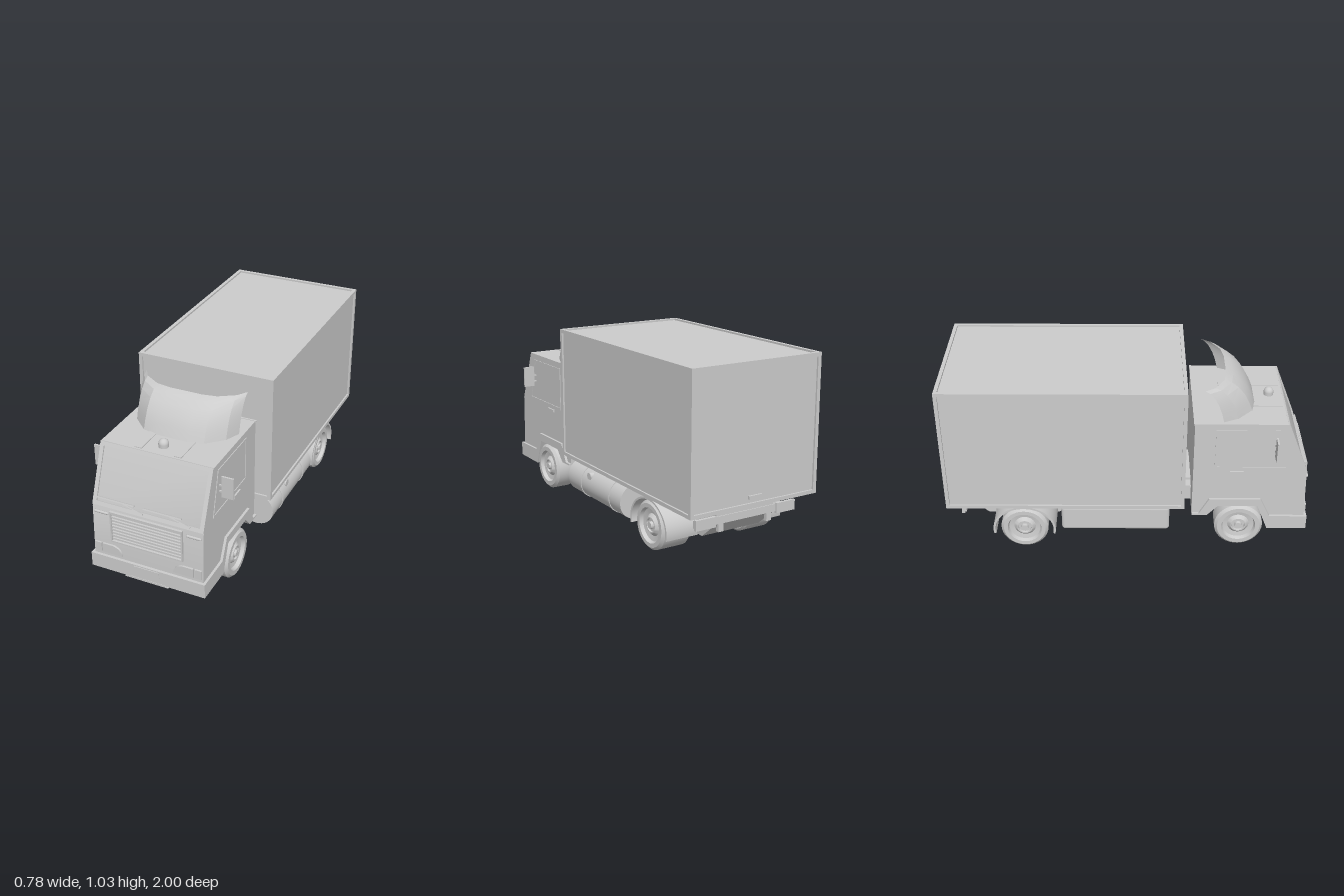
import * as THREE from 'three';
import { toCreasedNormals } from 'three/addons/utils/BufferGeometryUtils.js';
import { RoundedBoxGeometry } from 'three/addons/geometries/RoundedBoxGeometry.js';

const grey = new THREE.MeshStandardMaterial({ color: 0xcccccc });
const thin = new THREE.MeshStandardMaterial({ color: 0xcccccc, side: THREE.DoubleSide });

export function createModel() {
  const truck = new THREE.Group();
  truck.name = 'boxTruck';

  const add = (name, geo, parent = truck, mat = grey) => {
    const m = new THREE.Mesh(geo, mat);
    m.name = name;
    parent.add(m);
    return m;
  };
  // Box given by its limits on each axis
  const box = (name, x0, x1, y0, y1, z0, z1, parent = truck) => {
    const m = add(name, new THREE.BoxGeometry(x1 - x0, y1 - y0, z1 - z0), parent);
    m.position.set((x0 + x1) / 2, (y0 + y1) / 2, (z0 + z1) / 2);
    return m;
  };
  const polygon = pts => new THREE.Shape(pts.map(p => new THREE.Vector2(...p)));
  // Side profile in (z, y), extruded across x
  const across = (name, shape, x0, x1) => {
    const geo = new THREE.ExtrudeGeometry(shape, { depth: x1 - x0, bevelEnabled: false, curveSegments: 24 });
    geo.rotateY(-Math.PI / 2).translate(x1, 0, 0);
    return add(name, toCreasedNormals(geo, 0.5));
  };
  // Flat ring between an outline and the same outline shrunk towards its centre
  const frame = (pts, border, depth) => {
    const xs = pts.map(p => p[0]), ys = pts.map(p => p[1]);
    const mid = a => (Math.min(...a) + Math.max(...a)) / 2;
    const cx = mid(xs), cy = mid(ys);
    const s = polygon(pts);
    s.holes.push(new THREE.Path(pts.map(([x, y]) =>
      new THREE.Vector2(x - Math.sign(x - cx) * border, y - Math.sign(y - cy) * border))));
    return new THREE.ExtrudeGeometry(s, { depth, bevelEnabled: false });
  };

  // Cargo body: recessed panels inside edge rails
  const X = 0.39, Y0 = 0.295, Y1 = 1.03, Z0 = -1, Z1 = 0.31, r = 0.02;
  box('cargoPanels', -X + 0.01, X - 0.01, Y0 + 0.005, Y1 - 0.01, Z0 + 0.01, Z1 - 0.01);
  for (const x of [-X, X - r]) {
    for (const y of [Y0, Y1 - r]) box('cargoSideRail', x, x + r, y, y + r, Z0, Z1);
    for (const z of [Z0, Z1 - r]) box('cargoPost', x, x + r, Y0, Y1, z, z + r);
  }
  for (const y of [Y0, Y1 - r])
    for (const z of [Z0, Z1 - r]) box('cargoCrossRail', -X, X, y, y + r, z, z + r);
  box('rearDoorHandle', -0.04, 0.04, 0.335, 0.353, -1, -0.985);

  // Cab shell and the bumper that runs over the wheel arches
  across('cabShell', polygon([[0.355, 0.21], [0.355, 0.8], [0.85, 0.8], [0.975, 0.48], [0.985, 0.19],
    [0.76, 0.19], [0.72, 0.275], [0.5, 0.275], [0.44, 0.21]]), -0.313, 0.313);
  across('bumperAndArches', polygon([[1, 0.115], [1, 0.197], [0.79, 0.2], [0.735, 0.315], [0.45, 0.315],
    [0.395, 0.215], [0.355, 0.215], [0.355, 0.205], [0.44, 0.205], [0.5, 0.27], [0.72, 0.27], [0.78, 0.115]]), -0.327, 0.327);
  box('bumperPlate', -0.075, 0.07, 0.155, 0.19, 0.99, 1.004);
  add('bumperLip', new THREE.ExtrudeGeometry(
    polygon([[-0.13, 0.108], [0.12, 0.108], [0.1, 0.12], [-0.1, 0.12]]), { depth: 0.06, bevelEnabled: false }))
    .position.z = 0.942;
  box('roofRim', -0.318, 0.318, 0.795, 0.803, 0.35, 0.36);

  // Windscreen frame and wipers on the sloping front
  const screen = new THREE.Group();
  screen.name = 'windscreen';
  screen.position.set(0, 0.48, 0.975);
  screen.rotation.x = -Math.atan2(0.125, 0.32);
  truck.add(screen);
  add('windscreenFrame', frame([[-0.313, 0.012], [0.313, 0.012], [0.313, 0.342], [-0.313, 0.342]], 0.022, 0.008), screen);
  for (const x of [-0.18, 0.083]) {
    box('wiperBlade', x - 0.107, x + 0.107, 0.053, 0.061, 0.01, 0.02, screen);
    const arm = box('wiperArm', x + 0.035, x + 0.16, 0.038, 0.044, 0.01, 0.017, screen);
    arm.rotation.z = -0.23;
  }

  // Grille
  add('grilleFrame', frame([[-0.207, 0.298], [0.203, 0.298], [0.203, 0.482], [-0.207, 0.482]], 0.008, 0.014))
    .position.z = 0.98;
  for (let i = 0; i < 9; i++)
    box('grilleSlat', -0.2, 0.197, 0.312 + i * 0.0185, 0.322 + i * 0.0185, 0.97, 0.988);

  // Parts on both sides of the cab
  for (const s of [-1, 1]) {
    const span = (name, a, b, ...rest) => box(name, Math.min(s * a, s * b), Math.max(s * a, s * b), ...rest);
    // Headlight with a rounded inner corner, and a corner lamp
    const lamp = new THREE.Shape();
    lamp.moveTo(0.26, 0.217);
    lamp.lineTo(0.26, 0.27);
    lamp.lineTo(0.2, 0.27);
    lamp.quadraticCurveTo(0.15, 0.262, 0.147, 0.217);
    const lampGeo = new THREE.ExtrudeGeometry(lamp, { depth: 0.014, bevelEnabled: false });
    if (s < 0) lampGeo.rotateY(Math.PI).translate(0, 0, 0.014);
    add('headlight', lampGeo).position.z = 0.979;
    span('cornerLamp', 0.267, 0.306, 0.217, 0.27, 0.975, 0.992);
    const signal = add('turnSignal', new THREE.CapsuleGeometry(0.0075, 0.07, 4, 10));
    signal.rotation.z = Math.PI / 2;
    signal.position.set(s * 0.262, 0.458, 0.98);
    // Mirror on two arms
    span('mirror', 0.327, 0.392, 0.605, 0.725, 0.791, 0.801);
    for (const y of [0.63, 0.665]) span('mirrorArm', 0.3, 0.335, y, y + 0.008, 0.79, 0.798);
    // Door window frame and handle
    const win = frame([[0.47, 0.515], [0.87, 0.515], [0.81, 0.765], [0.47, 0.765]], 0.012, 0.005);
    win.rotateY(-Math.PI / 2).translate(s > 0 ? 0.317 : -0.312, 0, 0);
    add('doorWindowFrame', win);
    span('doorHandle', 0.31, 0.322, 0.484, 0.5, 0.555, 0.63);
    span('roofRib', 0.09, 0.13, 0.797, 0.804, 0.5, 0.84);
  }

  // Beacon
  const beacon = add('beacon', new THREE.CapsuleGeometry(0.027, 0.036, 8, 20));
  beacon.position.set(0, 0.8, 0.775);

  // Roof wind deflector: bowed in plan, swept back with height
  const plan = [[-0.29, 0.18], [-0.255, 0.1], [-0.17, 0.02], [-0.09, 0], [0.09, 0], [0.17, 0.02], [0.255, 0.1], [0.29, 0.18]];
  const rise = [[0.8, 0], [0.85, 0.02], [0.9, 0.047], [0.945, 0.085], [0.975, 0.125], [0.99, 0.165]];
  const pos = [], idx = [], n = plan.length;
  rise.forEach(([y, back]) => plan.forEach(([x, bow]) =>
    pos.push(x, y, 0.69 - bow - back * (1 - bow * 2))));
  for (let j = 0; j < rise.length - 1; j++)
    for (let i = 0; i < n - 1; i++) {
      const a = j * n + i;
      idx.push(a, a + 1, a + n + 1, a, a + n + 1, a + n);
    }
  const shell = new THREE.BufferGeometry();
  shell.setAttribute('position', new THREE.Float32BufferAttribute(pos, 3));
  shell.setIndex(idx);
  add('windDeflector', toCreasedNormals(shell, 0.3), truck, thin);

  // Chassis
  across('chassis', polygon([[0.46, 0.3], [0.46, 0.21], [0.25, 0.21], [0.2, 0.17], [-0.3, 0.17], [-0.4, 0.11],
    [-0.8, 0.11], [-0.92, 0.21], [-0.92, 0.3]]), -0.18, 0.18);
  box('cabLink', -0.12, 0.12, 0.21, 0.315, 0.3, 0.4);
  box('rearBar', -0.31, 0.31, 0.21, 0.25, -0.925, -0.905);
  for (const s of [-1, 1]) {
    box('tailLight', s * 0.25 - 0.06, s * 0.25 + 0.06, 0.2, 0.255, -0.932, -0.915);
    box('rearBarBracket', s * 0.15 - 0.015, s * 0.15 + 0.015, 0.165, 0.3, -0.92, -0.9);
  }

  // Fuel tank on the left side, with straps and filler cap
  const cyl = (name, rad, x, y, z, len, axis) => {
    const m = add(name, new THREE.CylinderGeometry(rad, rad, len, 36));
    m.rotation[axis] = Math.PI / 2;
    m.position.set(x, y, z);
    return m;
  };
  cyl('fuelTank', 0.098, 0.285, 0.178, -0.038, 0.585, 'x');
  for (const z of [0.108, -0.205]) {
    cyl('tankStrap', 0.102, 0.285, 0.178, z, 0.018, 'x');
    box('tankBracket', 0.17, 0.3, 0.25, 0.3, z - 0.009, z + 0.009);
  }
  cyl('fillerCap', 0.021, 0.362, 0.235, 0.025, 0.025, 'z');

  // Equipment locker on the right side
  add('sideLocker', new RoundedBoxGeometry(0.185, 0.155, 0.6, 3, 0.018)).position.set(-0.2725, 0.207, -0.07);

  // Wheels with a recessed rim and hub, plus axles
  const wheel = (name, side, z, inner, outer, R) => {
    const w = outer - inner;
    const pts = [[0, 0], [R - 0.012, 0], [R, 0.012], [R, w - 0.015], [R - 0.015, w], [0.095, w], [0.088, w - 0.02],
      [0.06, w - 0.025], [0.043, w - 0.008], [0.036, w - 0.008], [0.034, w - 0.018], [0.02, w - 0.018], [0.018, w - 0.002], [0, w - 0.002]];
    const geo = new THREE.LatheGeometry(pts.map(p => new THREE.Vector2(...p)), 36);
    geo.rotateZ(-Math.PI / 2).translate(inner, 0, 0);
    const m = add(name, toCreasedNormals(geo, 0.5));
    m.position.set(0, R, z);
    m.rotation.y = side > 0 ? 0 : Math.PI;
  };
  for (const s of [-1, 1]) {
    wheel('frontWheel', s, 0.62, 0.21, 0.335, 0.135);
    wheel('rearWheel', s, -0.58, 0.18, 0.358, 0.132);
    // Curved mudguard over the rear wheel
    const guard = new THREE.Shape();
    guard.absellipse(-0.58, 0.13, 0.175, 0.152, -0.2, Math.PI + 0.2, false);
    guard.absellipse(-0.58, 0.13, 0.163, 0.142, Math.PI + 0.2, -0.2, true);
    across('rearMudguard', guard, s > 0 ? 0.17 : -0.365, s > 0 ? 0.365 : -0.17);
  }
  cyl('frontAxle', 0.022, 0, 0.135, 0.62, 0.44, 'z');
  cyl('rearAxle', 0.022, 0, 0.132, -0.58, 0.4, 'z');

  return truck;
}
